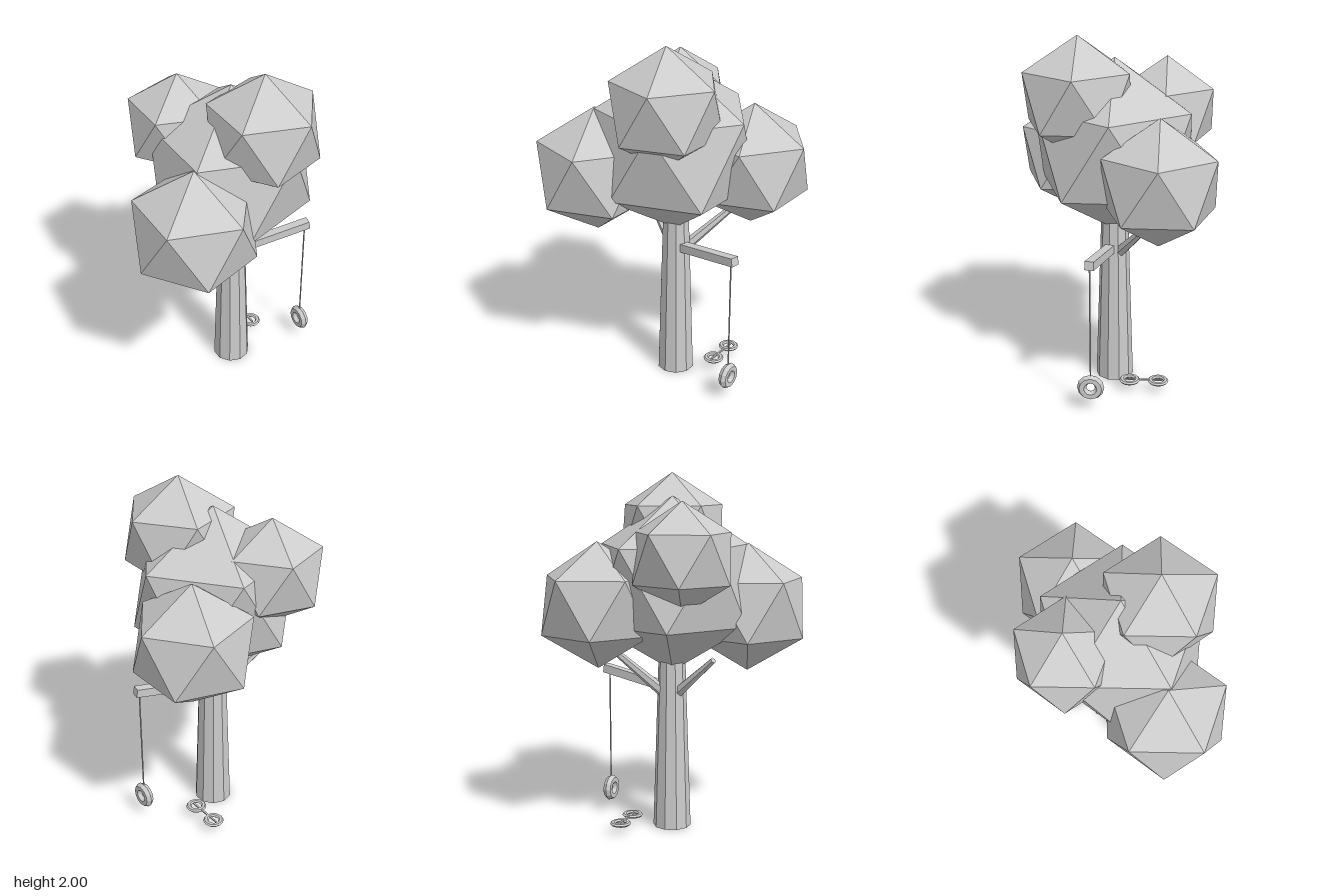
import * as THREE from 'three';

const grey = new THREE.MeshStandardMaterial({ color: 0xcccccc, flatShading: true });
grey.name = 'plain grey';

const V = (x, y, z) => new THREE.Vector3(x, y, z);
const UP = V(0, 1, 0);

function part(name, geometry, parent) {
  const mesh = new THREE.Mesh(geometry, grey);
  mesh.name = name;
  parent.add(mesh);
  return mesh;
}

// Tapered limb running from a to b
function limb(name, a, b, r0, r1, sides, parent) {
  const dir = b.clone().sub(a);
  const mesh = part(name, new THREE.CylinderGeometry(r1, r0, dir.length(), sides), parent);
  mesh.position.copy(a).add(b).multiplyScalar(0.5);
  mesh.quaternion.setFromUnitVectors(UP, dir.normalize());
  return mesh;
}

// Icosahedron standing on a corner, one upper corner towards +x
function leafBall(name, radius, x, y, z, parent) {
  const geo = new THREE.IcosahedronGeometry(radius, 0);
  geo.rotateX(-Math.atan((1 + Math.sqrt(5)) / 2));
  geo.rotateY(Math.PI / 2);
  part(name, geo, parent).position.set(x, y, z);
}

export function createModel() {
  const tree = new THREE.Group();
  tree.name = 'treeWithSwing';

  // Trunk and round branches
  limb('trunk', V(0.02, 0, 0), V(0.02, 1.05, 0), 0.107, 0.073, 10, tree);
  limb('rightBackBranch', V(0.05, 0.77, -0.02), V(0.29, 1.05, -0.225), 0.033, 0.017, 6, tree);
  limb('leftBackBranch', V(-0.02, 0.78, -0.02), V(-0.27, 1.0, -0.12), 0.033, 0.017, 6, tree);

  // Foliage
  const foliage = new THREE.Group();
  foliage.name = 'foliage';
  tree.add(foliage);
  leafBall('middleLeaves', 0.485, 0.015, 1.387, 0, foliage);
  leafBall('topLeaves', 0.33, 0.095, 1.67, 0.19, foliage);
  leafBall('frontLeaves', 0.36, -0.345, 1.25, 0.24, foliage);
  leafBall('sideLeaves', 0.347, 0.352, 1.285, -0.255, foliage);
  leafBall('backLeaves', 0.297, -0.15, 1.555, -0.275, foliage);

  // Squared branch that carries the swing
  const from = V(0.08, 0.806, 0.02), to = V(0.48, 0.868, 0.1);
  const beam = part('swingBranch', new THREE.BoxGeometry(0.05, 0.048, from.distanceTo(to)), tree);
  beam.position.copy(from).add(to).multiplyScalar(0.5);
  beam.lookAt(to);

  // Tyre swing
  limb('swingRope', V(0.455, 0.19, 0.1), V(0.455, 0.86, 0.1), 0.004, 0.004, 6, tree);
  const tyre = part('tyre', new THREE.TorusGeometry(0.049, 0.026, 6, 12), tree);
  tyre.position.set(0.455, 0.138, 0.1);
  tyre.rotation.y = Math.PI / 2;

  // Pair of flat rings joined by a thin bar
  for (const z of [-0.1, -0.262]) {
    const geo = new THREE.TorusGeometry(0.044, 0.015, 6, 12);
    geo.rotateX(Math.PI / 2);
    geo.scale(1, 0.7, 1);
    part('flatRing', geo, tree).position.set(0.224, 0.063, z);
  }
  const bar = part('ringBar', new THREE.BoxGeometry(0.01, 0.008, 0.21), tree);
  bar.position.set(0.224, 0.066, -0.181);

  return tree;
}
